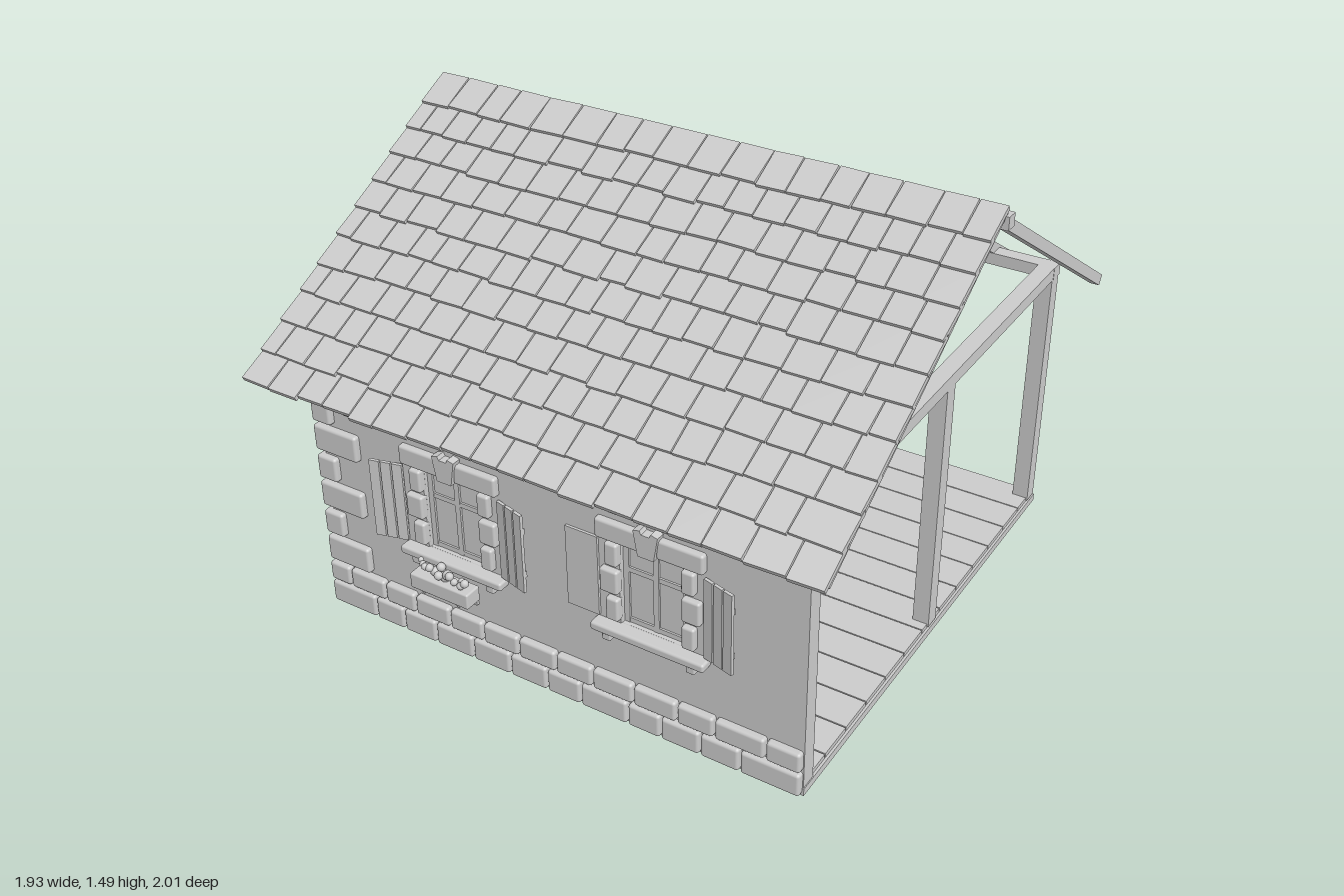
import * as THREE from 'three';
import { RoundedBoxGeometry } from 'three/addons/geometries/RoundedBoxGeometry.js';

const grey = new THREE.MeshStandardMaterial({ color: 0xcccccc });
grey.name = 'light grey';

let seed = 7;
const rand = () => (seed = (seed * 16807) % 2147483647) / 2147483647;

function add(parent, name, geometry, x = 0, y = 0, z = 0) {
  const mesh = new THREE.Mesh(geometry, grey);
  mesh.name = name;
  mesh.position.set(x, y, z);
  parent.add(mesh);
  return mesh;
}

// Box given by its min and max on each axis, optionally with rounded edges
function block(parent, name, [x0, x1], [y0, y1], [z0, z1], radius = 0) {
  const size = [x1 - x0, y1 - y0, z1 - z0];
  const geometry = radius
    ? new RoundedBoxGeometry(...size, 2, radius)
    : new THREE.BoxGeometry(...size);
  return add(parent, name, geometry, (x0 + x1) / 2, (y0 + y1) / 2, (z0 + z1) / 2);
}

function group(parent, name) {
  const g = new THREE.Group();
  g.name = name;
  parent.add(g);
  return g;
}

const OUT = 0.835, IN = 0.78; // outer and inner wall faces
const WIN = { w: 0.107, y0: 0.35, y1: 0.635 };

// Shutter hinged at local x = 0, reaching towards side * x
function shutter(parent, side, x, planked) {
  const g = group(parent, 'shutter');
  g.position.set(x, 0, OUT + 0.004);
  if (!planked) {
    const edges = [0, side * 0.108].sort((a, b) => a - b);
    block(g, 'shutterPanel', edges, [0.36, 0.63], [-0.004, 0.004]);
    return;
  }
  g.rotation.y = -side * 0.25;
  for (let i = 0; i < 3; i++) {
    const c = side * (0.018 + i * 0.037);
    block(g, 'shutterPlank', [c - 0.016, c + 0.016], [0.36, 0.63], [0, 0.01]);
  }
  for (const y of [0.42, 0.57]) {
    const edges = [side * 0.004, side * 0.106].sort((a, b) => a - b);
    block(g, 'shutterBatten', edges, [y - 0.01, y + 0.01], [-0.006, 0.002]);
  }
}

function flowerBox(parent) {
  const g = group(parent, 'flowerBox');
  block(g, 'planter', [-0.108, 0.108], [0.265, 0.318], [0.872, 0.932], 0.006);
  for (const x of [-0.065, 0.065]) {
    block(g, 'planterStrut', [x - 0.005, x + 0.005], [0.21, 0.268], [OUT, 0.846]);
    block(g, 'planterArm', [x - 0.005, x + 0.005], [0.255, 0.266], [OUT, 0.925]);
  }
  for (let i = 0; i < 14; i++) {
    const r = 0.009 + rand() * 0.008;
    add(g, 'flower', new THREE.IcosahedronGeometry(r, 1),
      -0.09 + i * 0.0138, 0.325 + rand() * 0.028, 0.885 + rand() * 0.035);
  }
}

function windowUnit(parent, cx, flowers, leftPlanked) {
  const g = group(parent, 'window');
  g.position.x = cx;
  const { w, y0, y1 } = WIN;
  // pane, frame and glazing bars
  block(g, 'pane', [-w, w], [y0, y1], [0.802, 0.808]);
  for (const x of [-w + 0.009, 0, w - 0.009])
    block(g, 'frameUpright', [x - 0.009, x + 0.009], [y0, y1], [0.795, 0.815]);
  for (const y of [y0 + 0.009, 0.535, y1 - 0.009])
    block(g, 'frameRail', [-w, w], [y - 0.008, y + 0.008], [0.796, 0.814]);
  // stone surround
  for (const s of [-1, 1]) {
    [[0.042, 0.367, 0.444], [0.06, 0.46, 0.54], [0.042, 0.556, 0.632]].forEach(([d, a, b]) =>
      block(g, 'jambStone', s < 0 ? [-w - d + 0.003, -w + 0.003] : [w - 0.003, w + d - 0.003],
        [a, b], [OUT - 0.01, 0.855], 0.008));
    block(g, 'lintelStone', s < 0 ? [-0.176, -0.026] : [0.026, 0.176],
      [0.64, 0.705], [OUT - 0.01, 0.856], 0.009);
    block(g, 'sillBracket', [s * 0.14 - 0.014, s * 0.14 + 0.014], [0.298, 0.328], [OUT - 0.005, 0.865], 0.004);
  }
  const key = new THREE.Shape([[-0.026, 0.637], [0.026, 0.637], [0.04, 0.718], [0.018, 0.724],
    [0.013, 0.712], [-0.013, 0.712], [-0.018, 0.724], [-0.04, 0.718]].map(p => new THREE.Vector2(...p)));
  add(g, 'keystone', new THREE.ExtrudeGeometry(key, { depth: 0.035, bevelEnabled: false }), 0, 0, OUT - 0.005);
  block(g, 'outerSill', [-0.188, 0.188], [0.325, 0.353], [OUT - 0.01, 0.875], 0.008);
  block(g, 'innerSill', [-0.12, 0.12], [0.34, 0.35], [0.755, 0.8]);
  shutter(g, -1, -0.175, leftPlanked);
  shutter(g, 1, 0.175, true);
  if (flowers) flowerBox(g);
}

// Wall with two windows and a stone base, facing local +z
function facade(parent, name, wallEnds, baseEnds, flowerSide) {
  const g = group(parent, name);
  const [a, b] = wallEnds;
  const shape = new THREE.Shape([[a, 0.02], [b, 0.02], [b, 0.885], [a, 0.885]].map(p => new THREE.Vector2(...p)));
  for (const cx of [-0.346, 0.346]) {
    const { w, y0, y1 } = WIN;
    shape.holes.push(new THREE.Path([[cx - w, y0], [cx - w, y1], [cx + w, y1], [cx + w, y0]]
      .map(p => new THREE.Vector2(...p))));
    const flowers = Math.sign(cx) === flowerSide;
    windowUnit(g, cx, flowers, flowers || flowerSide > 0);
  }
  add(g, 'wallPanel', new THREE.ExtrudeGeometry(shape, { depth: OUT - IN, bevelEnabled: false }), 0, 0, IN);
  // two courses of base stones
  [[0.005, 0.083], [0.09, 0.158]].forEach((ys, row) => {
    let x = baseEnds[0];
    let width = row ? 0.085 : 0.18;
    while (x < baseEnds[1] - 0.01) {
      let end = x + width;
      if (end > baseEnds[1] - 0.08) end = baseEnds[1];
      block(g, 'baseStone', [x + 0.003, end - 0.003], ys, [OUT - 0.015, 0.858], 0.01);
      x = end;
      width = 0.11 + rand() * 0.06;
    }
  });
  return g;
}

export function createModel() {
  const house = new THREE.Group();
  house.name = 'house';

  // floor slab and planks
  block(house, 'floorSlab', [-0.838, 0.838], [0, 0.025], [-0.84, 0.838]);
  for (let i = 0; i < 13; i++) {
    const z = -0.835 + i * 0.128;
    block(house, 'floorPlank', [-0.83, 0.83], [0.02, 0.04], [z, Math.min(z + 0.124, 0.8)]);
  }

  // walls and corner stones
  facade(house, 'frontWall', [-OUT, OUT], [-0.86, 0.835], -1);
  const side = facade(house, 'sideWall', [-OUT, IN], [-0.84, 0.845], 1);
  side.rotation.y = -Math.PI / 2;
  for (let i = 0; i < 7; i++) {
    const y = 0.168 + i * 0.1025;
    const [wx, wz] = i % 2 ? [0.073, 0.165] : [0.165, 0.073];
    block(house, 'cornerStone', [-0.856, -0.856 + wx], [y, y + (i % 2 ? 0.084 : 0.09)], [0.856 - wz, 0.856], 0.01);
  }

  // timber posts and top plates
  for (const [x, z] of [[0.808, -0.808], [-0.808, -0.808], [0.27, -0.812], [-0.27, -0.812], [0.808, -0.003]])
    block(house, 'post', [x - 0.027, x + 0.027], [0.03, 0.89], [z - 0.027, z + 0.027]);
  for (const x of [-0.808, -0.28, 0.27, 0.808])
    block(house, 'crossBeam', [x - 0.027, x + 0.027], [0.885, 0.927], [-0.84, 0.838]);
  for (const z of [-0.815, 0.808])
    block(house, 'topPlate', [-0.836, 0.836], [0.885, 0.926], [z - 0.026, z + 0.026]);

  // stored crate
  block(house, 'crate', [-0.178, 0.175], [0.04, 0.305], [-0.09, 0.265]);

  // roof slopes, local z running down from the ridge
  block(house, 'ridgeBeam', [-0.967, 0.967], [1.425, 1.466], [-0.02, 0.02]);
  const slope = (name, dir) => {
    const g = group(house, name);
    g.position.y = 1.47;
    g.rotation.x = dir * 0.565;
    const length = dir > 0 ? 1.15 : 1.178;
    for (let i = -3; i <= 3; i++) {
      const x = i * 0.305;
      block(g, 'rafter', [x - 0.015, x + 0.015], [-0.036, 0], dir > 0 ? [0.01, length] : [-length, -0.01]);
    }
    return g;
  };
  slope('backRafters', -1);
  const roof = slope('frontRoof', 1);
  block(roof, 'roofBoard', [-0.955, 0.955], [0, 0.01], [0, 1.152]);

  // overlapping tiles with uneven widths and lower edges
  for (let row = 0; row < 11; row++) {
    let x = -0.96;
    let width = row % 2 ? 0.06 : 0.105;
    while (x < 0.95) {
      let end = x + width;
      if (end > 0.91) end = 0.96;
      const length = 0.12 + rand() * 0.012;
      const top = 0.116 + row * 0.105 - 0.122;
      const tile = block(roof, 'roofTile', [x + 0.002, end - 0.002], [0.014, 0.03], [top, top + length]);
      tile.rotation.set(-0.1, (rand() - 0.5) * 0.05, 0);
      x = end;
      width = 0.085 + rand() * 0.04;
    }
  }
  return house;
}
